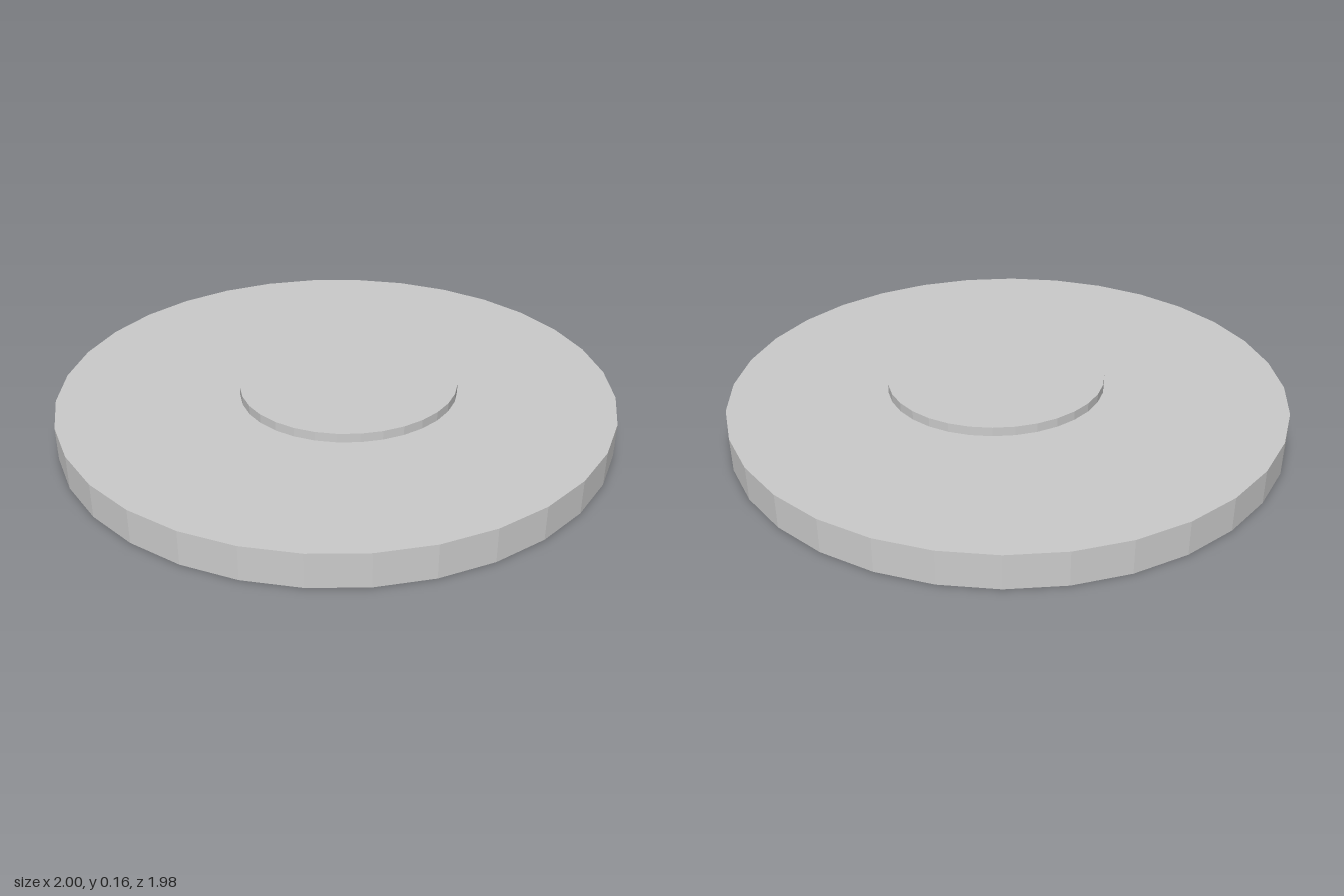
import * as THREE from 'three';

const material = new THREE.MeshStandardMaterial({ color: 0xcccccc, flatShading: true });

// Slightly elliptical faceted disc with its underside at y = bottom
function disc(name, radiusX, radiusZ, bottom, top, x = 0, z = 0) {
  const geometry = new THREE.CylinderGeometry(1, 1, top - bottom, 32);
  geometry.scale(radiusX, 1, radiusZ);
  const mesh = new THREE.Mesh(geometry, material);
  mesh.name = name;
  mesh.position.set(x, (bottom + top) / 2, z);
  return mesh;
}

export function createModel() {
  const group = new THREE.Group();
  group.name = 'steppedDisc';

  // Wide base plate
  group.add(disc('basePlate', 1, 0.988, 0, 0.123));

  // Thin raised disc, set a little off centre
  group.add(disc('raisedDisc', 0.393, 0.37, 0.123, 0.156, 0.038, 0.03));

  return group;
}
